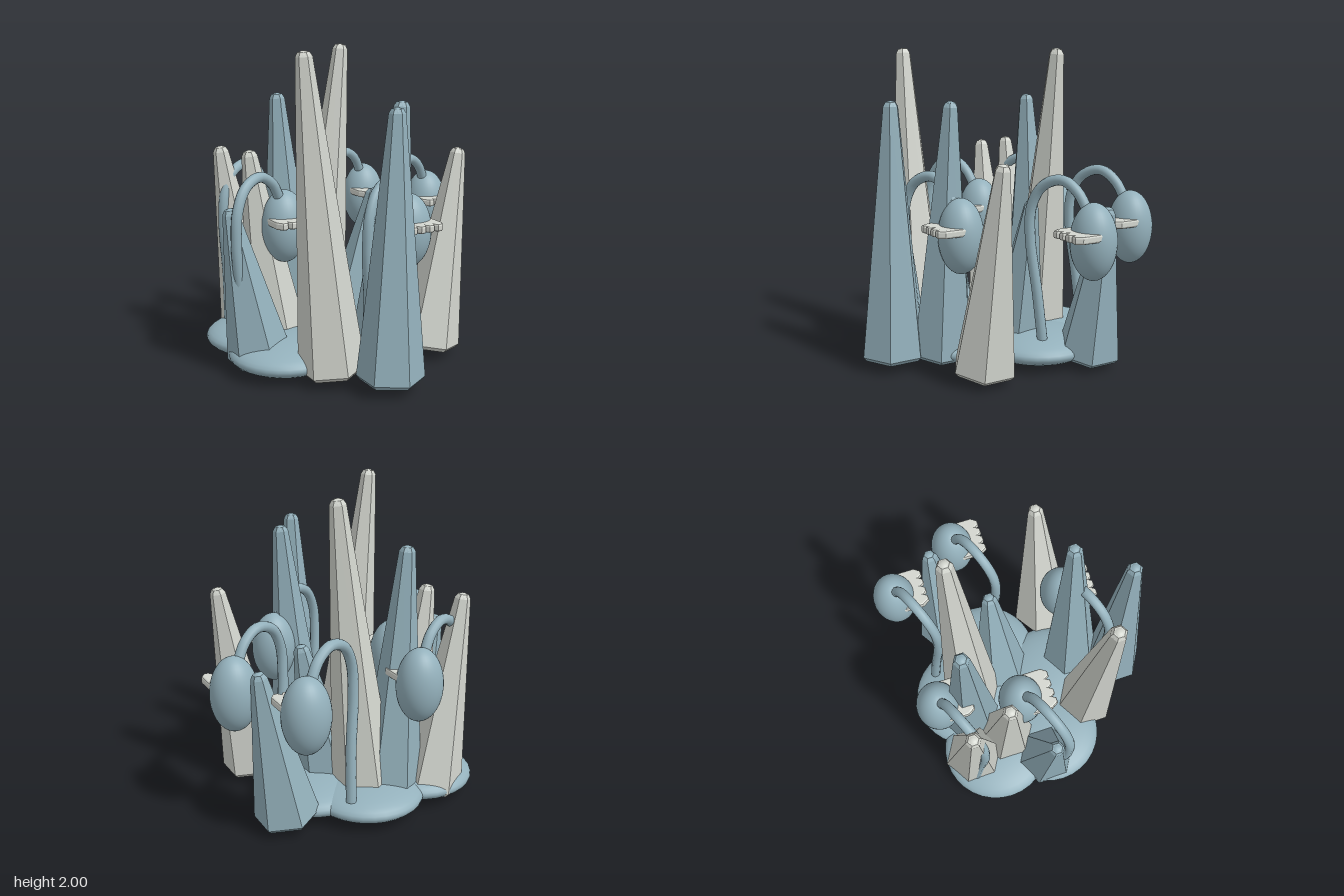
import * as THREE from 'three';

const blue = new THREE.MeshStandardMaterial({ color: 0x94b1bc });
blue.name = 'dusty blue';
const pale = new THREE.MeshStandardMaterial({ color: 0xd3d6cf });
pale.name = 'pale grey';

function add(parent, name, geometry, material, x = 0, y = 0, z = 0) {
  const mesh = new THREE.Mesh(geometry, material);
  mesh.name = name;
  mesh.position.set(x, y, z);
  parent.add(mesh);
  return mesh;
}

// Six-sided tapered crystal leaning from its base centre towards its tip
function crystal(material, bx, bz, tx, top, tz) {
  const group = new THREE.Group();
  group.name = 'crystal';
  const base = new THREE.Vector3(bx, 0.07, bz);
  const axis = new THREE.Vector3(tx, top, tz).sub(base);
  const length = axis.length();
  const profile = [
    [0, 0], [0.185, 0], [0.206, 0.025], [0.05, length - 0.035], [0.034, length - 0.008], [0, length - 0.006],
  ].map(([r, y]) => new THREE.Vector2(r, y));
  const shaft = new THREE.LatheGeometry(profile, 6).toNonIndexed();
  shaft.computeVertexNormals();
  add(group, 'crystalShaft', shaft, material);
  add(group, 'crystalTip', new THREE.SphereGeometry(0.044, 16, 10), material, 0, length - 0.044, 0);
  group.position.copy(base);
  group.quaternion.setFromUnitVectors(new THREE.Vector3(0, 1, 0), axis.normalize());
  return group;
}

// Toothed fringe: flat outline with a zigzag front edge, laid horizontally
function fringeGeometry() {
  const half = 0.122, teeth = 4, step = (2 * half) / teeth;
  const shape = new THREE.Shape();
  shape.moveTo(-half, -0.04);
  shape.lineTo(-half, -0.165);
  for (let i = 0; i < teeth; i++) {
    const x = -half + i * step;
    shape.lineTo(x + step * 0.35, -0.2);
    shape.lineTo(x + step * 0.65, -0.2);
    shape.lineTo(x + step, -0.17);
  }
  shape.lineTo(half, -0.04);
  const geometry = new THREE.ExtrudeGeometry(shape, {
    depth: 0.024, bevelEnabled: true, bevelSize: 0.013, bevelThickness: 0.013, bevelSegments: 2,
  });
  geometry.translate(0, 0, -0.012);
  geometry.rotateX(-Math.PI / 2);
  return geometry;
}

export function createModel() {
  const model = new THREE.Group();
  model.name = 'crystalGarden';

  // Overlapping flattened mounds
  const mounds = [[-0.51, 0.02], [-0.51, -0.36], [-0.075, -0.445], [0.19, -0.225], [-0.12, 0.17]];
  const moundGeometry = new THREE.SphereGeometry(1, 32, 18);
  for (const [x, z] of mounds) {
    add(model, 'mound', moundGeometry, blue, x, 0.108, z).scale.set(0.365, 0.104, 0.365);
  }

  // Crystals: material, base x and z, tip x, y and z
  const crystals = [
    [blue, -0.135, 0.655, -0.105, 1.69, 0.655],
    [pale, -0.37, 0.36, -0.54, 2.0, 0.36],
    [blue, -0.02, 0.365, 0.118, 1.69, 0.365],
    [pale, 0.385, 0.29, 0.6, 1.36, 0.29],
    [blue, 0.04, -0.15, 0.235, 1.055, -0.145],
    [blue, 0.475, -0.425, 0.65, 1.055, -0.425],
    [blue, -0.665, -0.045, -0.84, 1.055, -0.05],
    [pale, -0.44, -0.27, -0.61, 1.36, -0.27],
    [pale, -0.51, -0.525, -0.7, 1.36, -0.525],
    [pale, -0.085, -0.4, 0.125, 2.0, -0.4],
    [blue, -0.24, -0.46, -0.32, 1.69, -0.46],
  ];
  for (const c of crystals) model.add(crystal(...c));

  // Drooping flowers: arched stem, egg-shaped bud and toothed fringe
  const path = [
    [-0.36, 0.17, 0.11], [-0.375, 0.5, 0.145], [-0.405, 0.85, 0.18], [-0.39, 1.05, 0.18],
    [-0.32, 1.18, 0.145], [-0.2, 1.225, 0.09], [-0.1, 1.165, 0.05], [-0.03, 1.04, 0.015],
  ].map((p) => new THREE.Vector3(...p));
  const stem = new THREE.TubeGeometry(new THREE.CatmullRomCurve3(path), 48, 0.033, 12);
  const bud = new THREE.SphereGeometry(1, 32, 24);
  const fringe = fringeGeometry();
  const flowers = [[-0.305, -0.66], [0.495, -0.725], [0.73, -0.255], [-0.43, -0.15], [0.19, 0.34]];
  for (const [x, z] of flowers) {
    const flower = new THREE.Group();
    flower.name = 'flower';
    flower.position.set(x, 0, z);
    add(flower, 'stem', stem, blue);
    add(flower, 'bud', bud, blue, 0, 0.876, 0).scale.set(0.147, 0.235, 0.14);
    add(flower, 'fringe', fringe, pale, 0, 0.925, 0);
    model.add(flower);
  }
  return model;
}
